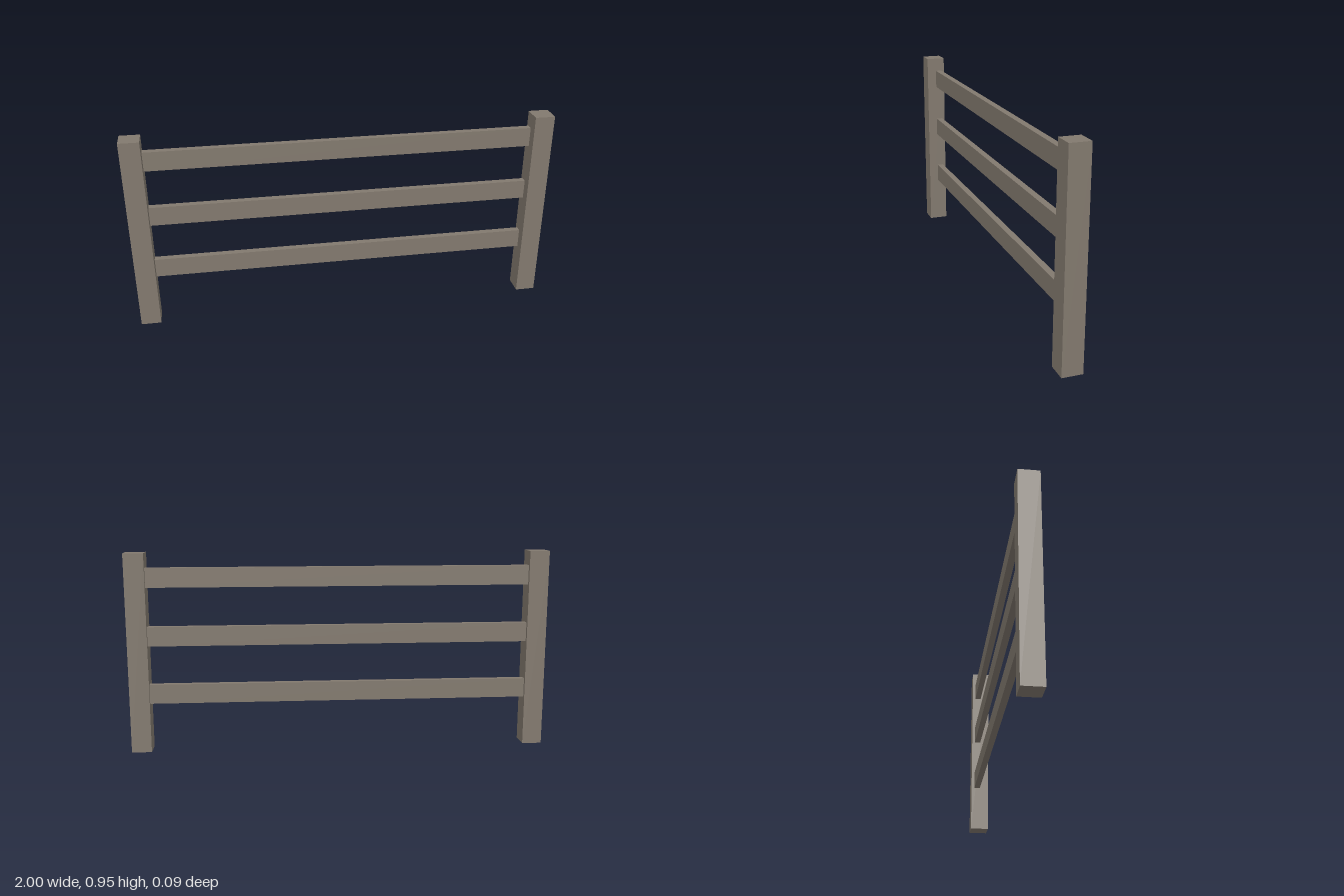
import * as THREE from 'three';

export function createModel() {
  const group = new THREE.Group();
  const wood = new THREE.MeshStandardMaterial({ color: 0x82796e });
  wood.name = 'weathered wood';

  const height = 0.95;
  const postSize = 0.094;
  const railLength = 2 - 2 * postSize;

  const addBox = (name, size, position) => {
    const mesh = new THREE.Mesh(new THREE.BoxGeometry(...size), wood);
    mesh.name = name;
    mesh.position.set(...position);
    group.add(mesh);
  };

  // Square end posts
  for (const [name, side] of [['leftPost', 1], ['rightPost', -1]]) {
    addBox(name, [postSize, height, postSize], [side * (1 - postSize / 2), height / 2, 0]);
  }

  // Thin rails, set behind the centre line of the posts
  ['lowerRail', 'middleRail', 'upperRail'].forEach((name, i) => {
    addBox(name, [railLength, 0.092, 0.031], [0, 0.281 + i * 0.277, -0.016]);
  });

  return group;
}
